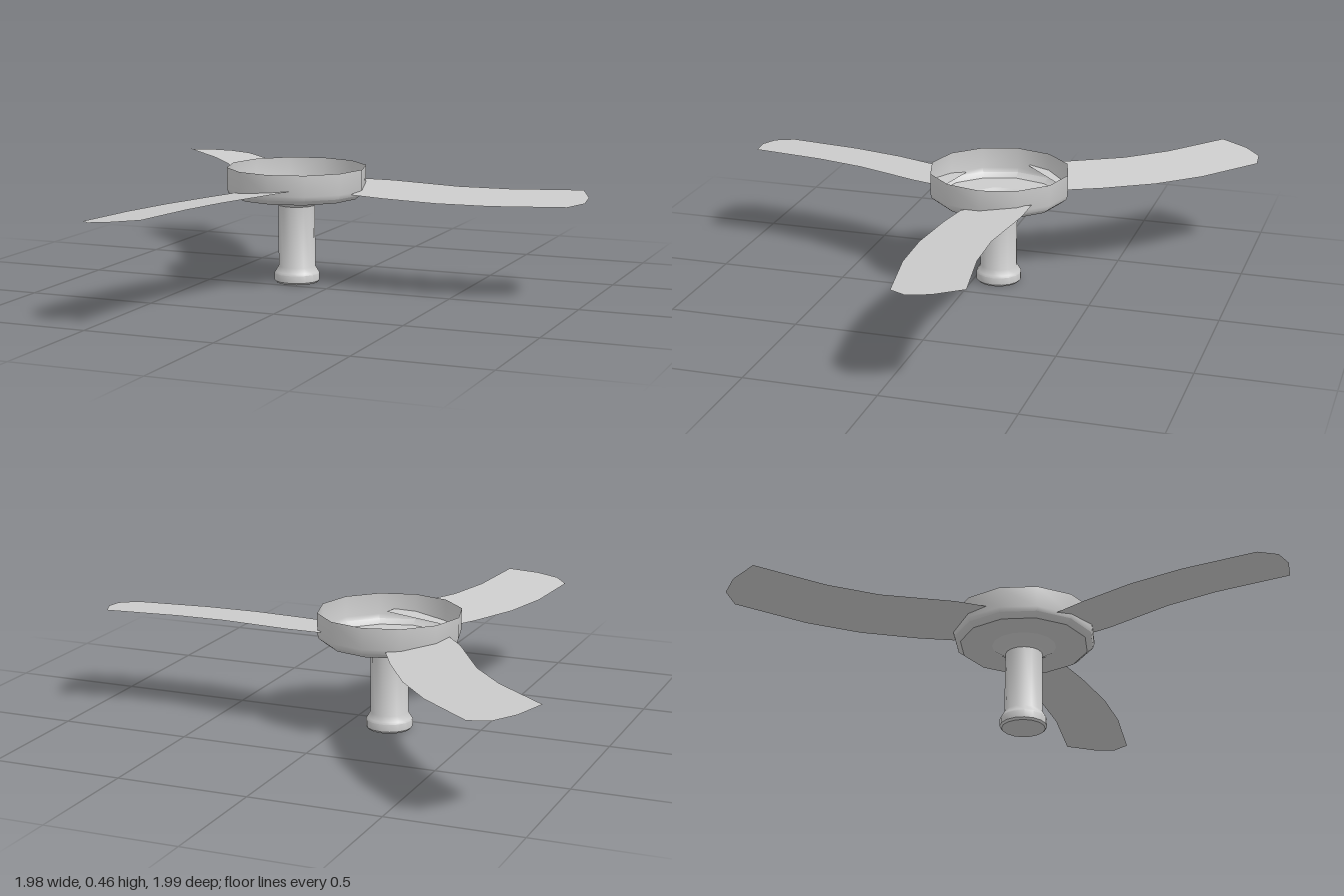
import * as THREE from 'three';
import { toCreasedNormals } from 'three/addons/utils/BufferGeometryUtils.js';

const material = new THREE.MeshStandardMaterial({ color: 0xcccccc, side: THREE.DoubleSide });
const HUB = [-0.165, -0.095]; // x, z of the rotor axis

function turned(name, profile, sides) {
  const points = profile.map(([r, y]) => new THREE.Vector2(r, y));
  const geometry = toCreasedNormals(new THREE.LatheGeometry(points, sides), 0.65);
  const mesh = new THREE.Mesh(geometry, material);
  mesh.name = name;
  mesh.position.set(HUB[0], 0, HUB[1]);
  return mesh;
}

// Thin, swept blade: outline in (x, z) around the middle of its tip, tilted across its width
function bladeGeometry() {
  const mid = [0.935, -0.165];
  const outline = [
    [0.095, -0.02], [0.23, 0.005], [0.45, 0.028], [0.66, 0.02], [0.94, -0.03],
    [0.988, -0.1], [0.98, -0.19], [0.93, -0.297],
    [0.65, -0.25], [0.45, -0.243], [0.17, -0.28], [0.04, -0.28],
  ];
  const shape = new THREE.Shape(outline.map(([x, z]) => new THREE.Vector2(x - mid[0], mid[1] - z)));
  const geometry = new THREE.ShapeGeometry(shape);
  geometry.rotateX(-Math.PI / 2);
  const p = geometry.attributes.position;
  for (let i = 0; i < p.count; i++) p.setY(i, 0.384 - 0.106 * p.getZ(i));
  geometry.computeVertexNormals();
  return geometry;
}

export function createModel() {
  const model = new THREE.Group();
  model.name = 'fanRotor';

  // Open cup that carries the blades
  model.add(turned('hubCup', [[0.12, 0.34], [0.245, 0.34], [0.268, 0.358], [0.273, 0.375], [0.273, 0.457]], 12));

  // Hollow stem flaring into the cup, closed by a foot knob
  model.add(turned('stem', [
    [0, 0], [0.082, 0], [0.089, 0.008], [0.089, 0.036], [0.084, 0.044],
    [0.072, 0.064], [0.071, 0.305], [0.088, 0.318], [0.122, 0.34],
  ], 16));

  // Blades: tip position and direction of each
  const geometry = bladeGeometry();
  const placements = [
    [0.935, -0.165, 0],
    [-0.415, 0.94, 105],
    [-0.89, -0.91, 231],
  ];
  placements.forEach(([x, z, angle], i) => {
    const blade = new THREE.Mesh(geometry, material);
    blade.name = `blade${i + 1}`;
    blade.position.set(x, 0, z);
    blade.rotation.y = -THREE.MathUtils.degToRad(angle);
    model.add(blade);
  });

  return model;
}
